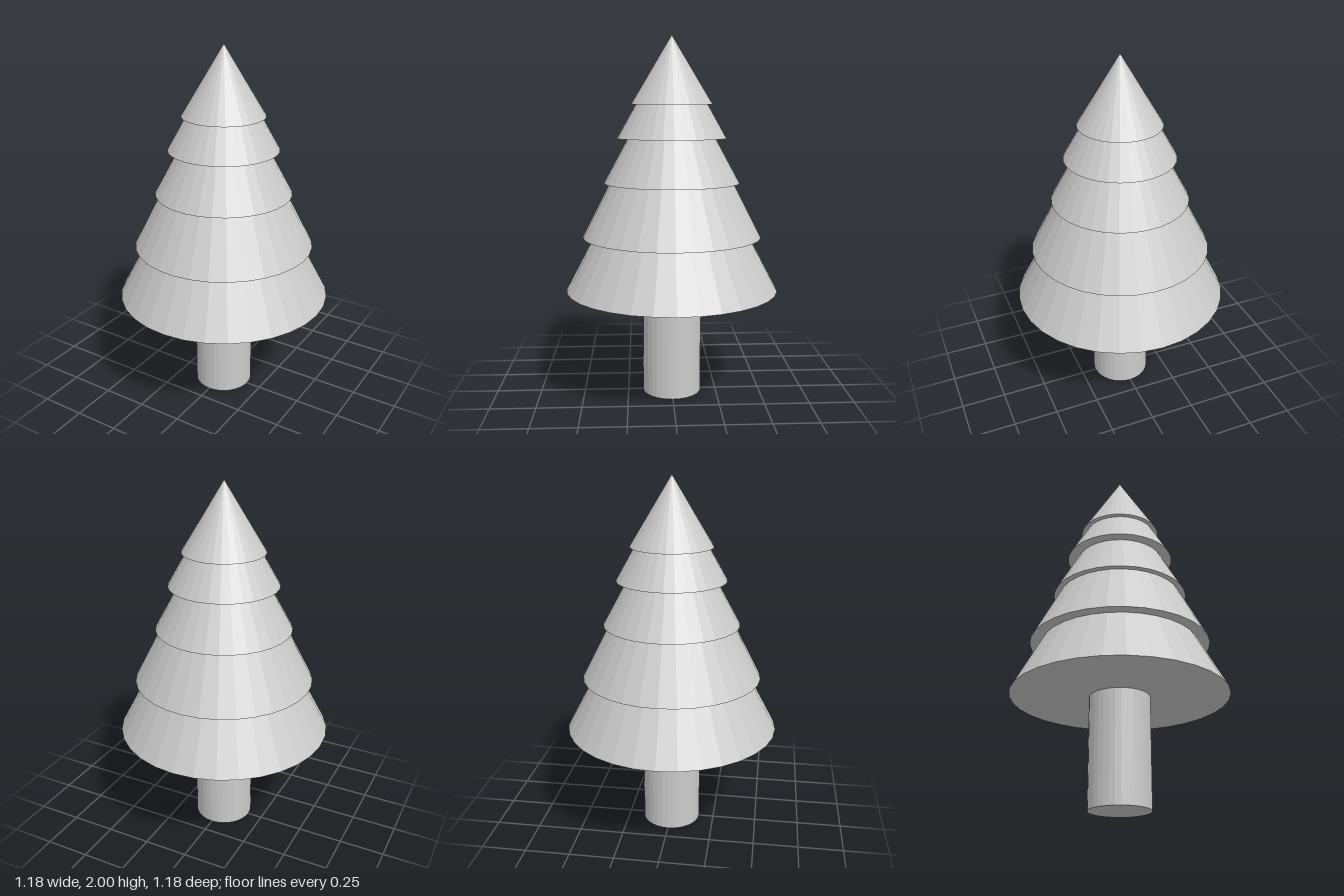
import * as THREE from 'three';

const SIDES = 32;

export function createModel() {
  const tree = new THREE.Group();
  tree.name = 'tree';
  const material = new THREE.MeshStandardMaterial({ color: 0xcccccc, flatShading: true });

  const add = (name, geometry, y) => {
    const mesh = new THREE.Mesh(geometry, material);
    mesh.name = name;
    mesh.position.y = y;
    tree.add(mesh);
  };

  // Trunk, ending at the underside of the foliage
  const trunkHeight = 0.6;
  add('trunk', new THREE.CylinderGeometry(0.165, 0.165, trunkHeight, SIDES), trunkHeight / 2);

  // Foliage cones, lowest first: base height, base radius, tip height
  const tiers = [
    [0.6, 0.592, 1.72],
    [0.9, 0.497, 1.87],
    [1.2, 0.376, 1.89],
    [1.445, 0.302, 1.98],
    [1.627, 0.226, 2],
  ];
  tiers.forEach(([base, radius, tip], i) => {
    add(`foliageTier${i + 1}`, new THREE.ConeGeometry(radius, tip - base, SIDES), (base + tip) / 2);
  });

  return tree;
}
